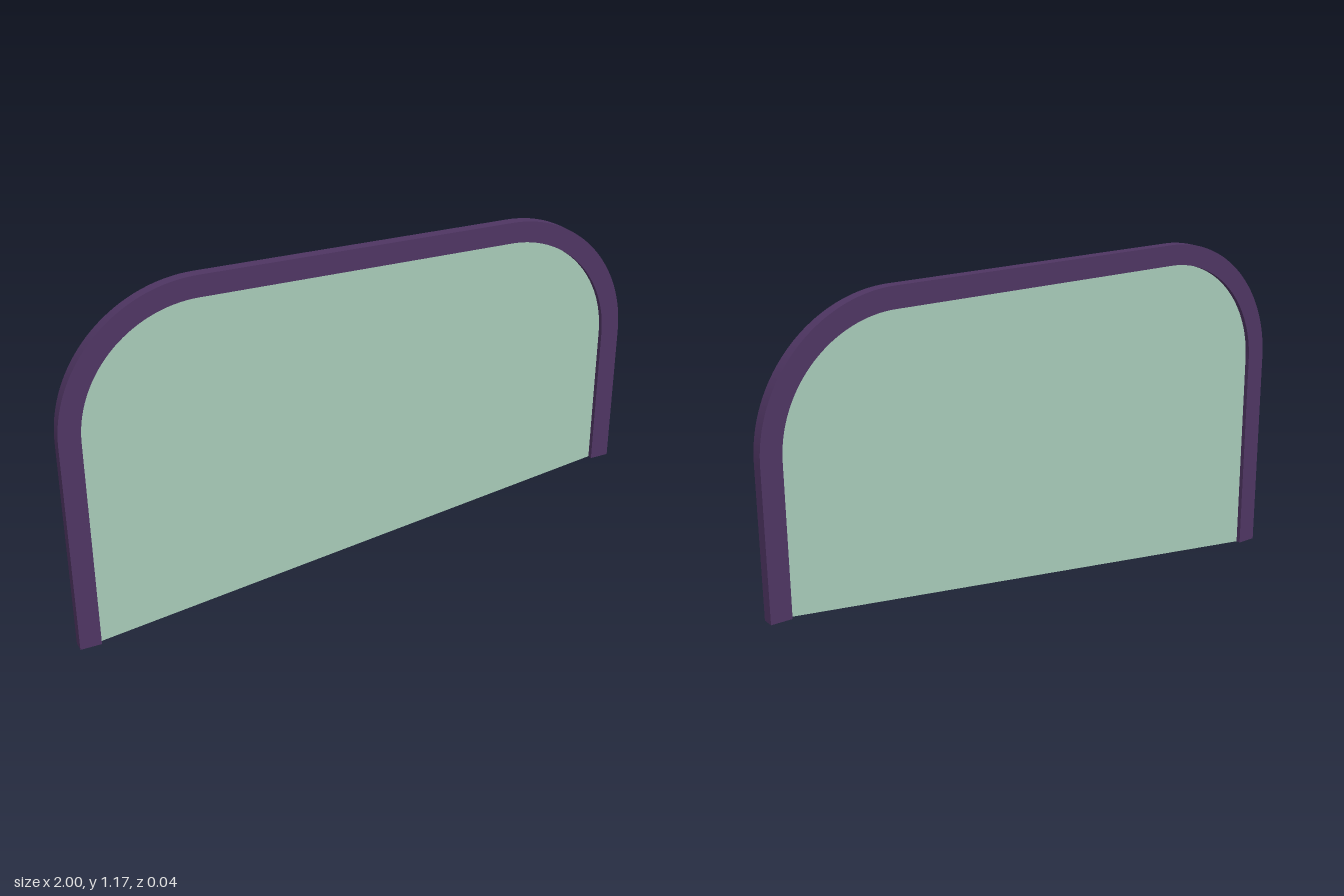
import * as THREE from 'three';
import { toCreasedNormals } from 'three/addons/utils/BufferGeometryUtils.js';

const TOP = 1.175, RADIUS = 0.46, BAR = 0.07;
const LEFT_END = 0.225, RIGHT_END = 0; // heights of the two frame feet

// Arch outline from the low foot, over the top, to the high foot
function archPoints(inset) {
  const path = new THREE.Path();
  const half = 1 - inset, r = RADIUS - inset;
  const cx = 1 - RADIUS, cy = TOP - RADIUS;
  path.moveTo(-half, RIGHT_END);
  path.lineTo(-half, cy);
  path.absarc(-cx, cy, r, Math.PI, Math.PI / 2, true);
  path.lineTo(cx, TOP - inset);
  path.absarc(cx, cy, r, Math.PI / 2, 0, true);
  path.lineTo(half, LEFT_END);
  return path.getPoints(24);
}

// Extrude an outline, centred on z = 0
function slab(points, depth, material, name) {
  const geometry = new THREE.ExtrudeGeometry(new THREE.Shape(points), { depth, bevelEnabled: false });
  geometry.translate(0, 0, -depth / 2);
  const mesh = new THREE.Mesh(toCreasedNormals(geometry, 0.5), material);
  mesh.name = name;
  return mesh;
}

export function createModel() {
  const framePurple = new THREE.MeshStandardMaterial({ color: 0x4e3562 });
  framePurple.name = 'frame purple';
  const glassGreen = new THREE.MeshStandardMaterial({ color: 0xa6c9b7 });
  glassGreen.name = 'glass green';

  const group = new THREE.Group();
  group.name = 'windowPanel';

  // Rounded frame, open along the sloping bottom
  const inner = archPoints(BAR);
  group.add(slab([...archPoints(0), ...inner.slice().reverse()], 0.04, framePurple, 'frame'));

  // Thin pane filling the arch
  group.add(slab(inner, 0.008, glassGreen, 'glassPane'));
  return group;
}
